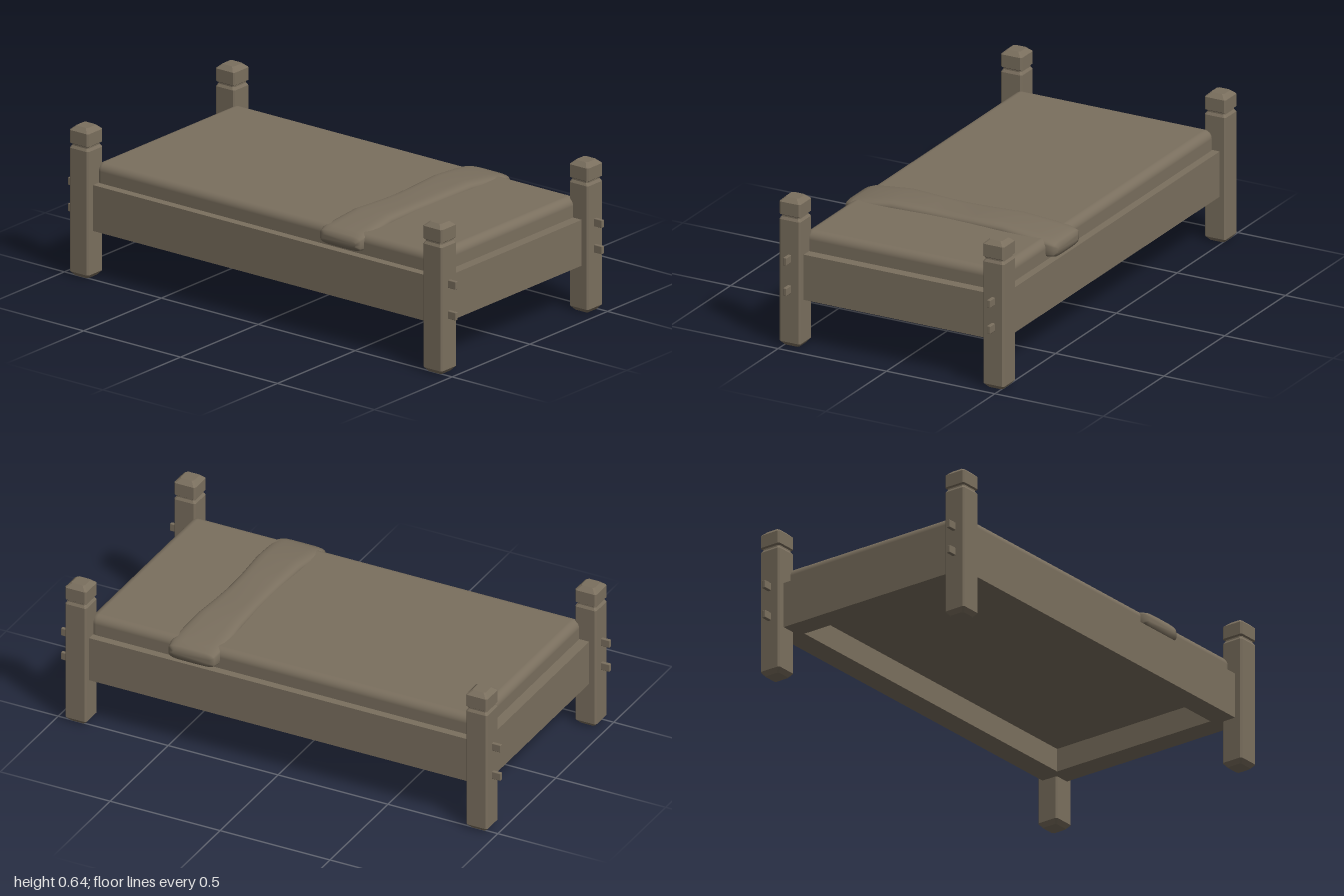
import * as THREE from 'three';
import { RoundedBoxGeometry } from 'three/addons/geometries/RoundedBoxGeometry.js';

const wood = new THREE.MeshStandardMaterial({ color: 0x7a6f5e });
wood.name = 'drabBrown';

// Skins a list of equal rings [[x, y, z], ...] and closes both ends.
function loft(rings, smooth) {
  const n = rings[0].length, last = rings.length - 1;
  const points = rings.flat();
  const index = [];
  for (let i = 0; i < last; i++) {
    for (let j = 0; j < n; j++) {
      const a = i * n + j, b = i * n + (j + 1) % n;
      index.push(a, b, a + n, b, b + n, a + n);
    }
  }
  for (let j = 1; j < n - 1; j++) {
    index.push(0, j + 1, j);
    index.push(last * n, last * n + j, last * n + j + 1);
  }
  let geometry = new THREE.BufferGeometry();
  geometry.setAttribute('position', new THREE.Float32BufferAttribute(points.flat(), 3));
  geometry.setIndex(index);
  if (!smooth) geometry = geometry.toNonIndexed();
  geometry.computeVertexNormals();
  return geometry;
}

// Square ring with cut corners at height y
function squareRing(y, h) {
  const c = h - 0.007;
  return [[h, -c], [c, -h], [-c, -h], [-h, -c], [-h, c], [-c, h], [c, h], [h, c]]
    .map(([x, z]) => [x, y, z]);
}

function add(parent, name, geometry, x = 0, y = 0, z = 0) {
  const mesh = new THREE.Mesh(geometry, wood);
  mesh.name = name;
  mesh.position.set(x, y, z);
  parent.add(mesh);
  return mesh;
}

// Pillow: soft cross-sections along z, narrower in the middle
function pillowGeometry() {
  const stations = [ // z, half width, bottom, top
    [-0.5, 0.085, 0.425, 0.455], [-0.492, 0.105, 0.41, 0.472], [-0.46, 0.112, 0.405, 0.482],
    [-0.4, 0.112, 0.405, 0.49], [-0.25, 0.104, 0.405, 0.506], [-0.1, 0.095, 0.405, 0.502],
    [0, 0.092, 0.405, 0.5], [0.1, 0.093, 0.405, 0.502], [0.26, 0.102, 0.405, 0.507],
    [0.39, 0.11, 0.405, 0.49], [0.44, 0.112, 0.405, 0.482], [0.468, 0.105, 0.41, 0.472],
    [0.477, 0.085, 0.425, 0.455],
  ];
  const round = (v) => Math.sign(v) * Math.pow(Math.abs(v), 0.45);
  const rings = stations.map(([z, w, low, high]) => {
    const ring = [];
    for (let j = 0; j < 28; j++) {
      const t = (j / 28) * Math.PI * 2;
      ring.push([0.398 + w * round(Math.cos(t)),
        (low + high) / 2 + (high - low) / 2 * round(Math.sin(t)), z]);
    }
    return ring;
  });
  return loft(rings, true);
}

export function createModel() {
  const bed = new THREE.Group();
  bed.name = 'bed';

  // Corner posts with chamfered ends, a groove and a cap
  const postGeometry = loft([
    [0, 0.034], [0.018, 0.049], [0.546, 0.049], [0.557, 0.042],
    [0.563, 0.042], [0.568, 0.049], [0.622, 0.049], [0.64, 0.03],
  ].map(([y, h]) => squareRing(y, h)), false);
  const pegGeometry = new RoundedBoxGeometry(0.06, 0.034, 0.016, 1, 0.003);
  for (const sx of [-1, 1]) {
    for (const sz of [-1, 1]) {
      const post = new THREE.Group();
      post.name = 'cornerPost';
      post.position.set(sx * 0.912, 0, sz * 0.47);
      add(post, 'post', postGeometry);
      // Wooden pegs sticking out of the ends
      add(post, 'upperPeg', pegGeometry, sx * 0.058, 0.382, 0);
      add(post, 'lowerPeg', pegGeometry, sx * 0.058, sx * sz > 0 ? 0.25 : 0.27, 0);
      bed.add(post);
    }
  }

  // Frame rails
  for (const s of [-1, 1]) {
    add(bed, 'sideRail', new THREE.BoxGeometry(1.76, 0.196, 0.1), 0, 0.3, s * 0.44 - 0.003);
    add(bed, 'endRail', new THREE.BoxGeometry(0.1, 0.196, 0.88), s * 0.88, 0.3, 0);
  }

  // Mattress and pillow
  add(bed, 'mattress', new RoundedBoxGeometry(1.77, 0.18, 0.91, 5, 0.035), 0, 0.392, -0.004);
  add(bed, 'pillow', pillowGeometry());
  return bed;
}
